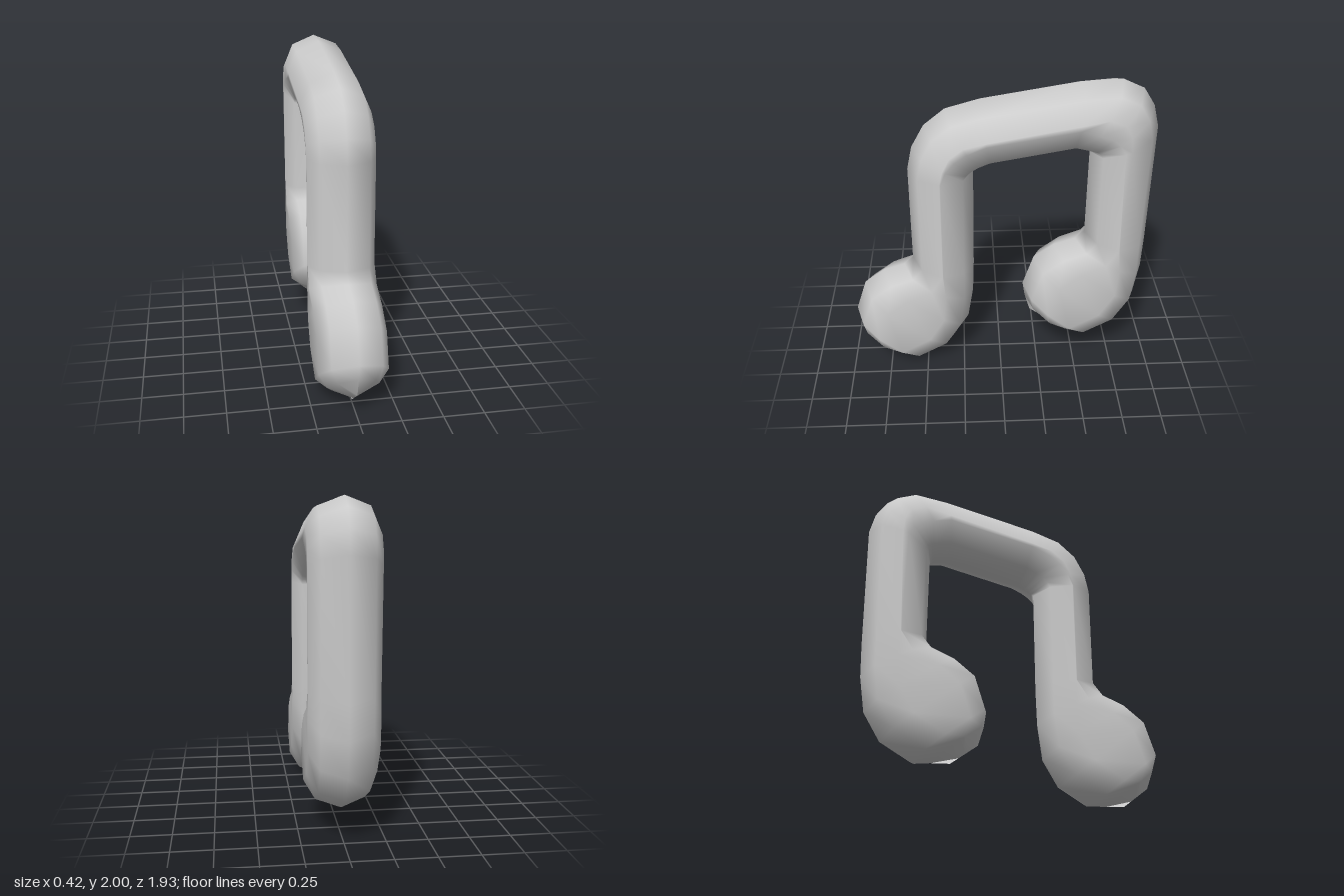
import * as THREE from 'three';
import { mergeVertices } from 'three/addons/utils/BufferGeometryUtils.js';

// Each station spans the tube: [outer z, outer y, inner z, inner y, width factor]
// Note head, from its tip up to the stem
const head = [
  [0.92, 0.15, 0.75, 0.02, 0],
  [0.955, 0.27, 0.63, 0.012, 0.75],
  [0.97, 0.37, 0.51, 0.005, 1],
  [0.9, 0.58, 0.32, 0.11, 1],
  [0.77, 0.675, 0.215, 0.28, 1],
  [0.63, 0.72, 0.18, 0.5, 1],
  [0.572, 0.775, 0.172, 0.72, 1],
];

// Front stem top, beam and rear stem top
const beam = [
  [0.572, 1.43, 0.165, 1.415, 1],
  [0.54, 1.58, 0.15, 1.425, 1],
  [0.46, 1.725, 0.13, 1.435, 1],
  [0.33, 1.83, 0.1, 1.45, 1],
  [0.12, 1.89, 0.055, 1.47, 1],
  [-0.5, 1.99, -0.44, 1.56, 1],
  [-0.73, 2.0, -0.49, 1.55, 1],
  [-0.86, 1.94, -0.535, 1.542, 1],
  [-0.93, 1.83, -0.55, 1.538, 1],
  [-0.965, 1.69, -0.555, 1.53, 1],
];

// The rear head repeats the front one, shifted back and up, swept the other way
const rearHead = head
  .map(([az, ay, bz, by, w]) => [bz - 1.125, by + 0.17, az - 1.125, ay + 0.17, w])
  .reverse();

// Rounded cross-section between the two points of a station
function ring([az, ay, bz, by, w]) {
  const half = Math.hypot(az - bz, ay - by) / 2;
  const inset = (d) => Math.max(half - d, 0) / half;
  const e = inset(0.065);
  const f = inset(0.2);
  const section = [
    [1, 0], [e, 0.15], [f, 0.21], [-f, 0.21], [-e, 0.15],
    [-1, 0], [-e, -0.15], [-f, -0.21], [f, -0.21], [e, -0.15],
  ];
  return section.map(([t, x]) => [
    x * w,
    (ay + by) / 2 + (t * (ay - by)) / 2,
    (az + bz) / 2 + (t * (az - bz)) / 2,
  ]);
}

// Skin the rings into one closed smooth surface
function sweep(stations) {
  const n = 10;
  const index = [];
  for (let i = 0; i < stations.length - 1; i++) {
    for (let j = 0; j < n; j++) {
      const a = i * n + j;
      const b = i * n + ((j + 1) % n);
      index.push(a, b, a + n, b, b + n, a + n);
    }
  }
  const geometry = new THREE.BufferGeometry();
  geometry.setAttribute(
    'position',
    new THREE.Float32BufferAttribute(stations.flatMap(ring).flat(), 3)
  );
  geometry.setIndex(index);
  const welded = mergeVertices(geometry, 1e-4);
  welded.computeVertexNormals();
  return welded;
}

export function createModel() {
  const group = new THREE.Group();
  group.name = 'musicNote';
  const material = new THREE.MeshStandardMaterial({ color: 0xcccccc });
  const body = new THREE.Mesh(sweep([...head, ...beam, ...rearHead]), material);
  body.name = 'noteHeadsStemsAndBeam';
  group.add(body);
  return group;
}
